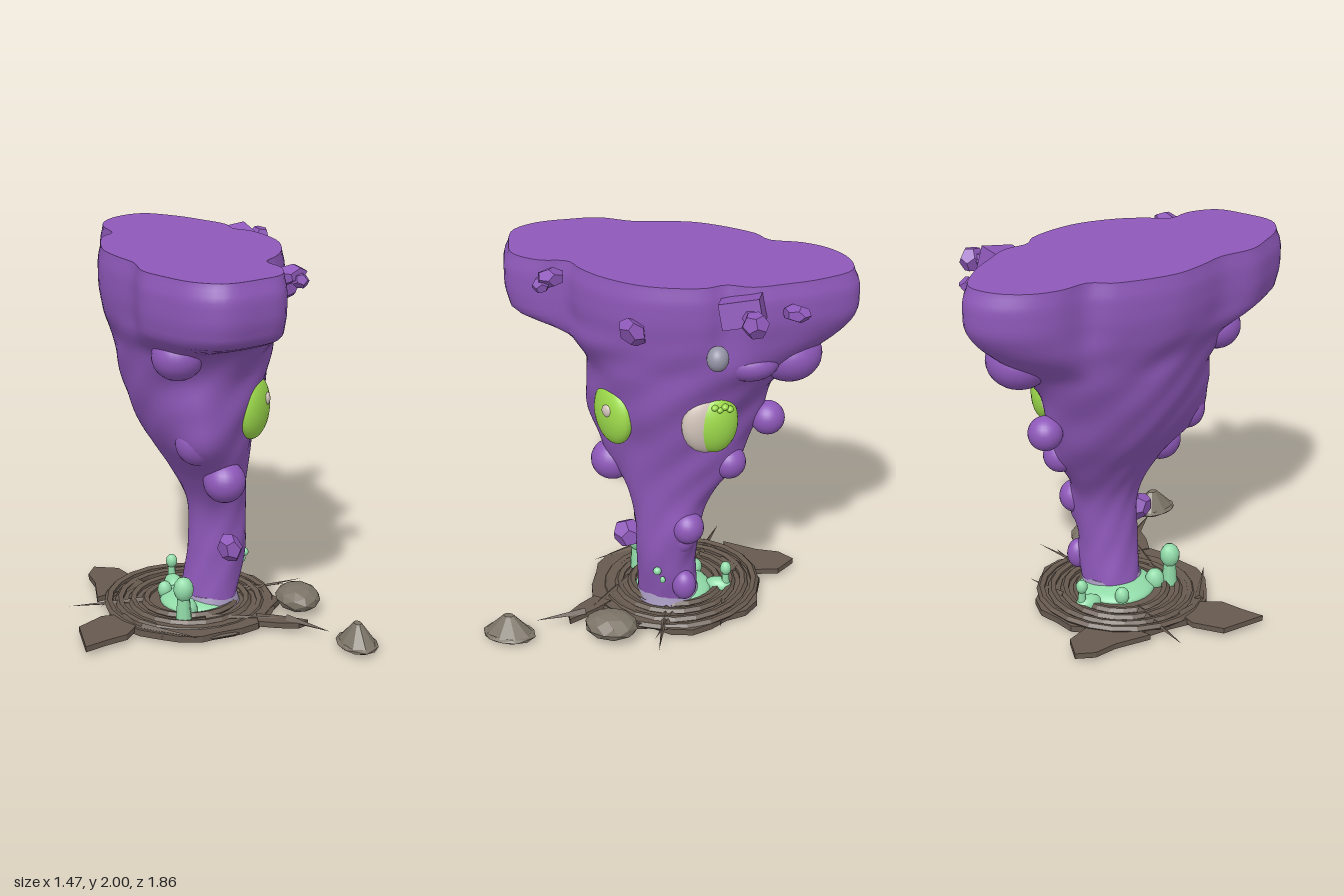
import * as THREE from 'three';

const mat = (name, color, extra = {}) => Object.assign(new THREE.MeshStandardMaterial({ color, ...extra }), { name });
const { smoothstep } = THREE.MathUtils;

export function createModel() {
  const purple = mat('purple skin', 0x8e58b9);
  const knobMat = mat('purple knob', 0x8e58b9, { flatShading: true });
  const green = mat('eye green', 0x9edc4c);
  const pale = mat('eye pale', 0xd2c4ba);
  const grey = mat('blind eye grey', 0x9695a7);
  const teal = mat('slime teal', 0x91dba8);
  const lavender = mat('foot lavender', 0xa396bc);
  const mud = mat('mud brown', 0x675a4f, { flatShading: true });
  const stone = mat('stone', 0x7b7366, { flatShading: true });
  const root = new THREE.Group();

  let seed = 7;
  const rnd = () => (seed = (seed * 16807) % 2147483647) / 2147483647;
  const add = (name, geo, material, pos = [0, 0, 0], scale = [1, 1, 1], rot = [0, 0, 0]) => {
    const m = new THREE.Mesh(geo, material);
    m.name = name;
    m.position.set(...pos);
    m.scale.set(...scale);
    m.rotation.set(...rot);
    root.add(m);
  };
  const ball = new THREE.SphereGeometry(1, 24, 16);

  // Outline of the flat crown, as x,z pairs
  const crown = [[-.1, -.93], [-.25, -.88], [-.36, -.75], [-.4, -.6], [-.39, -.42], [-.46, -.33], [-.53, 0],
    [-.5, .18], [-.45, .35], [-.45, .55], [-.38, .7], [-.28, .85], [-.14, .93], [.05, .88], [.18, .81],
    [.23, .65], [.2, .5], [.28, .4], [.36, .25], [.41, 0], [.35, -.28], [.28, -.36], [.27, -.5], [.18, -.65],
    [.07, -.8]];
  const curve = new THREE.CatmullRomCurve3(crown.map(([x, z]) => new THREE.Vector3(x, 0, z)), true);
  const N = 110, M = 64;
  const ring = curve.getSpacedPoints(N).slice(0, N);

  // Trunk extents by height: y, x min, x max, z min, z max
  const rows = [[.1, -.12, .18, -.15, .17], [.35, -.08, .23, -.15, .17], [.62, -.08, .23, -.19, .19],
    [.82, -.17, .24, -.3, .28], [1.02, -.3, .27, -.4, .43], [1.22, -.39, .32, -.46, .48],
    [1.42, -.44, .35, -.54, .475], [1.59, -.46, .36, -.62, .56], [1.75, -.5, .39, -.75, .7], [2, -.5, .4, -.8, .8]];
  const extents = new THREE.CubicInterpolant(rows.map(r => r[0]), rows.flatMap(r => r.slice(1)), 4);

  // Soft lumps: position, radii
  const lumps = [[[-.25, 1.55, .46], [.13, .12, .13]], [[-.14, 1.22, .39], [.09, .2, .09]],
    [[-.12, 1.07, .37], [.12, .12, .1]], [[.03, .83, .32], [.11, .11, .115]], [[-.05, 1.54, -.6], [.17, .145, .17]],
    [[-.1, 1.13, -.49], [.09, .09, .09]], [[.03, .91, -.32], [.09, .09, .09]], [[.17, .56, -.14], [.085, .09, .085]],
    [[.15, .48, -.1], [.07, .09, .07]], [[.12, 1.55, -.43], [.14, .1, .16]], [[.1, 1.62, .3], [.16, .09, .22]],
    [[.17, .2, -.12], [.06, .085, .065]]];
  lumps.forEach(([p, r]) => add('lump', ball, purple, p, r));

  // Body: an oval trunk that blends upward into the crown outline and swells around each lump
  const verts = [], index = [];
  for (let j = 0; j <= M; j++) {
    const y = .1 + 1.9 * j / M;
    const [x0, x1, z0, z1] = extents.evaluate(y);
    const cx = .07 - .17 * smoothstep(y, .5, 1.15);
    const p = 2 - .35 * Math.exp(-(((y - 1.15) / .3) ** 2));
    const s = 1 - .035 * smoothstep(y, 1.88, 2) ** 2 - .03 * (1 - smoothstep(y, 1.68, 1.82));
    ring.forEach((q, i) => {
      const t = Math.atan2(q.z, q.x + .08), c = Math.cos(t), d = Math.sin(t);
      const a = c > 0 ? x1 - cx : cx - x0, b = d > 0 ? z1 : -z0;
      const k = smoothstep(y, 1.5 + .06 * d, 1.75 - .04 * d);
      const wave = 1 + .025 * Math.sin(5 * t + y * 9) * Math.sin(y * 13 + 2 * t);
      let r = wave * (Math.abs(c / a) ** p + Math.abs(d / b) ** p) ** (-1 / p);
      const swell = lumps.reduce((sum, [o, [rx, ry, rz]]) => sum + .3 * rx * Math.exp(-.7 *
        (((cx + r * c - o[0]) / rx) ** 2 + ((y - o[1]) / ry) ** 2 + ((r * d - o[2]) / rz) ** 2)), 0);
      r += swell;
      const ex = cx + r * c, ez = r * d;
      verts.push(ex + ((q.x + .08) * s - .08 - ex) * k, y, ez + (q.z * s - ez) * k);
      if (j < M) {
        const A = j * N + i, B = j * N + (i + 1) % N;
        index.push(A, B, B + N, A, B + N, A + N);
      }
    });
  }
  // Flat cap with its own vertices for a crisp rim
  const base = verts.length / 3;
  verts.push(...verts.slice(-N * 3), -.08, 2, 0);
  for (let i = 0; i < N; i++) index.push(base + N, base + i, base + (i + 1) % N);
  const bodyGeo = new THREE.BufferGeometry();
  bodyGeo.setAttribute('position', new THREE.Float32BufferAttribute(verts, 3));
  bodyGeo.setIndex(index);
  bodyGeo.computeVertexNormals();
  add('body', bodyGeo, purple);

  // Faceted knobs sticking out of the skin
  const knob = new THREE.DodecahedronGeometry(1, 0);
  [[[.28, 1.94, .54], [.1, .05, .07]], [[.43, 1.77, .07], [.1, .08, .06]], [[.47, 1.9, -.55], [.07, .07, .06]],
    [[.21, 1.87, -.69], [.08, .045, .06]], [[.09, .42, .22], [.065, .085, .08]], [[.33, 1.92, .57], [.05, .05, .04]]]
    .forEach(([p, r], i) => add('knob', knob, knobMat, p, r, [i, i * .7, .2]));
  add('knobBlock', new THREE.BoxGeometry(.17, .13, .2), knobMat, [.32, 1.9, -.45], [1, 1, 1], [.2, .15, .12]);
  add('knobStem', new THREE.CylinderGeometry(.035, .045, .16, 6), knobMat, [.4, 1.9, -.51], [1, 1, 1], [0, .4, -1.5]);

  // Eyes: flattened domes turned outward along the skin
  add('frontEye', ball, green, [.2, 1.195, .252], [.072, .168, .15], [0, -.69, 0]);
  add('frontEyeSpot', ball, pale, [.27, 1.237, .262], [.018, .034, .034], [0, -.4, 0]);
  add('backEyeWhite', ball, pale, [.205, 1.22, -.26], [.072, .17, .152], [0, .69, 0]);
  add('backEye', ball, green, [.194, 1.215, -.288], [.083, .165, .122], [0, .69, 0]);
  add('backEyeSpot', ball, pale, [.268, 1.225, -.275], [.018, .015, .015]);
  for (let i = 0; i < 4; i++)
    add('backEyelidDrip', ball, green, [.25 - i * .012, 1.325 - .014 * (i % 2), -.3 - i * .023], [.022, .016, .018]);
  add('blindEye', ball, grey, [.34, 1.64, -.335], [.06, .065, .055]);

  // Slime puddle, foot rim and droplets
  add('foot', new THREE.CylinderGeometry(.145, .165, .07, 32), lavender, [.035, .08, .01], [1, 1, 1.08]);
  const dome = (sides, rings) => new THREE.SphereGeometry(1, sides, rings, 0, Math.PI * 2, 0, Math.PI / 2);
  add('slimePuddle', dome(28, 8), teal, [-.02, .05, 0], [.21, .06, .21]);
  const drop = (x, z, h, r) => {
    add('slimeStem', new THREE.CylinderGeometry(r * .5, r * .8, h - .05, 8), teal, [x, .04 + (h - .05) / 2, z]);
    add('slimeBlob', new THREE.IcosahedronGeometry(1, 1), teal, [x, h - r, z], [r, r * 1.25, r]);
  };
  drop(-.17, .25, .28, .055);
  drop(-.1, -.28, .2, .032);
  drop(-.13, .18, .13, .055);
  drop(-.19, -.08, .13, .04);
  add('slimeRun', dome(16, 6), teal, [-.1, .05, -.24], [.05, .05, .08]);
  add('slimeFleck', ball, teal, [.235, .3, .01], [.02, .022, .022]);
  add('slimeFleck', ball, teal, [.235, .25, -.02], [.012, .02, .015]);

  // Mud bed with a ragged edge and raised rings
  const slab = (pts, depth) => new THREE.ExtrudeGeometry(new THREE.Shape(pts.map(p => new THREE.Vector2(...p))),
    { depth, bevelEnabled: false }).rotateX(Math.PI / 2);
  const edge = Array.from({ length: 26 }, (_, i) => {
    const a = i / 13 * Math.PI, r = .43 + rnd() * .06;
    return [r * Math.cos(a), r * Math.sin(a)];
  });
  add('mudBed', slab(edge, .035), mud, [-.07, .05, 0]);
  add('mudUnderside', new THREE.CylinderGeometry(.2, .2, .024, 24), stone, [-.07, .012, 0]);
  [.24, .31, .38, .44].forEach((r, i) =>
    add('mudRing', new THREE.TorusGeometry(r, .024, 5, 22).rotateX(Math.PI / 2), mud, [-.07, .058 - i * .004, 0],
      [1, .8, 1], [.02 * (i - 1), i, .015]));

  // Flat splats reaching out of the bed, as x,z outlines
  [[[-.45, .1], [-.58, .1], [-.72, .2], [-.735, .45], [-.62, .4], [-.5, .36], [-.42, .25]],
    [[-.42, -.2], [-.55, -.15], [-.52, -.35], [-.53, -.48], [-.48, -.575], [-.35, -.52], [-.3, -.38]],
    [[.22, .28], [.32, .33], [.46, .43], [.4, .46], [.3, .43], [.2, .38]]]
    .forEach(pts => add('mudSplat', slab(pts, .03), mud, [0, .055, 0]));

  // Thin twigs lying in the mud: start x,z, end x,z, width
  [[.2, -.03, .6, -.11, .02], [.2, -.08, .5, -.06, .02], [-.3, -.05, -.72, -.07, .025], [.36, .38, .52, .6, .03],
    [-.4, .28, -.15, .5, .025], [-.28, -.3, -.56, -.02, .03], [-.05, .25, .32, .36, .025], [.05, -.3, .3, -.36, .02]]
    .forEach(([x0, z0, x1, z1, w]) => {
      const L = Math.hypot(x1 - x0, z1 - z0);
      add('twig', new THREE.ConeGeometry(w, L, 4).rotateZ(-Math.PI / 2), mud, [(x0 + x1) / 2, .055, (z0 + z1) / 2],
        [1, .7, 1], [0, -Math.atan2(z1 - z0, x1 - x0), 0]);
    });

  // Stones
  const rock = new THREE.IcosahedronGeometry(1, 1);
  add('stone', rock, stone, [.48, .085, .19], [.12, .07, .145]);
  add('pointedStone', new THREE.CylinderGeometry(.2, 1, 1, 9), stone, [.63, .085, .71], [.1, .11, .14]);
  add('pointedStoneBase', rock, stone, [.63, .03, .71], [.105, .025, .147]);
  return root;
}
